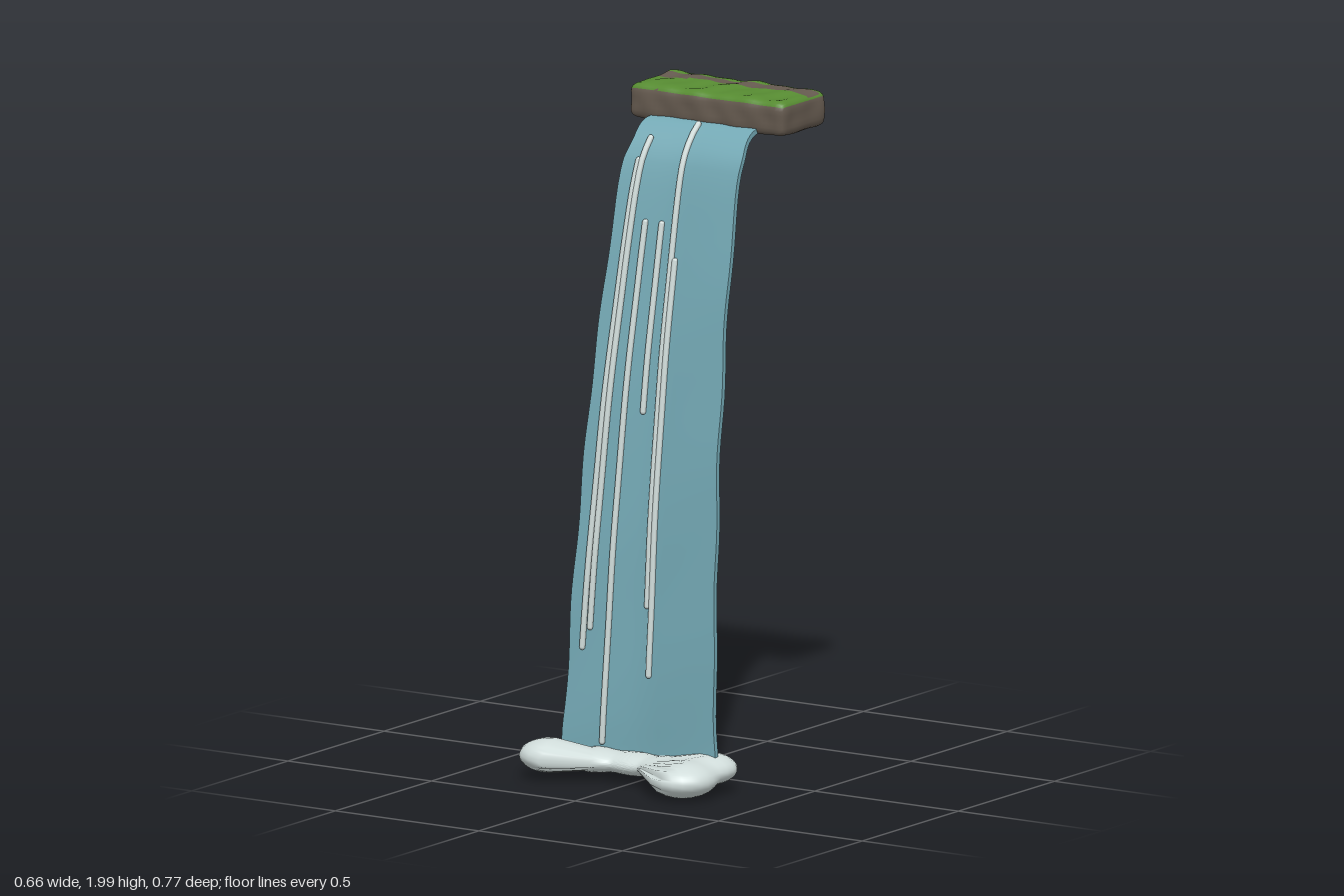
import * as THREE from 'three';
import { mergeGeometries, mergeVertices } from 'three/addons/utils/BufferGeometryUtils.js';

const mat = (name, color) => {
  const m = new THREE.MeshStandardMaterial({ color });
  m.name = name;
  return m;
};

// Smooth repeatable ripple between about -1 and 1
const ripple = (x, y, z) =>
  (Math.sin(x * 41 + z * 17 + 1.3) + Math.sin(z * 47 - x * 23 + y * 31) + Math.sin(y * 59 + x * 67 + z * 29)) / 3;

// Centre line of the falling water, from lip to base
const fall = new THREE.CatmullRomCurve3([
  [1.915, -0.17], [1.905, -0.13], [1.86, -0.08], [1.8, -0.048], [1.6, 0.0], [1.4, 0.036], [1.2, 0.068],
  [1.0, 0.096], [0.8, 0.117], [0.6, 0.135], [0.4, 0.15], [0.2, 0.161], [0.07, 0.166],
].map(([y, z]) => new THREE.Vector3(0, y, z)), false, 'centripetal');

const leftEdge = (t) => 0.19 + 0.09 * t + 0.003 * Math.sin(t * 40);
const rightEdge = (t) => -0.162 - 0.093 * Math.pow(t, 0.9) + 0.003 * Math.sin(t * 37 + 1);

// Point on the water at t down the fall and at sideways position x, pushed out by d
function waterPoint(t, x, d) {
  const p = fall.getPoint(t);
  const n = fall.getTangent(t);
  const fold = 0.024 * Math.min(1, Math.abs(x) / 0.26) * Math.min(1, t * 2.5);
  return new THREE.Vector3(x, p.y + n.z * d, p.z - n.y * d + fold + 0.0015 * Math.sin(t * 30 + x * 9));
}

function makeWater() {
  const geo = new THREE.BoxGeometry(1, 1, 1, 10, 60, 1);
  const pos = geo.attributes.position;
  for (let i = 0; i < pos.count; i++) {
    const t = 0.5 - pos.getY(i);
    const x = THREE.MathUtils.lerp(rightEdge(t), leftEdge(t), pos.getX(i) + 0.5);
    const p = waterPoint(t, x, (pos.getZ(i) - 0.5) * 0.016);
    pos.setXYZ(i, p.x, p.y, p.z);
  }
  geo.computeVertexNormals();
  return geo;
}

// Curve parameter at a given height
function paramAt(y) {
  let a = 0, b = 1;
  for (let i = 0; i < 30; i++) {
    const m = (a + b) / 2;
    if (fall.getPoint(m).y > y) a = m; else b = m;
  }
  return a;
}

// Round-ended strand lying on the front of the water
function makeStreak([x0, y0, x1, y1]) {
  const r = 0.009;
  const t0 = paramAt(y0), t1 = paramAt(y1);
  const pts = [];
  for (let i = 0; i <= 16; i++) {
    const k = i / 16;
    pts.push(waterPoint(t0 + (t1 - t0) * k, x0 + (x1 - x0) * k, 0.004));
  }
  const parts = [new THREE.TubeGeometry(new THREE.CatmullRomCurve3(pts), 40, r, 8)];
  for (const p of [pts[0], pts[16]]) parts.push(new THREE.SphereGeometry(r, 8, 6).translate(p.x, p.y, p.z));
  return mergeGeometries(parts);
}

// Rounded, lumpy slab: upward faces are grass, the rest is rock
function makeLedge() {
  const half = new THREE.Vector3(0.272, 0.053, 0.117), r = 0.026;
  let geo = new THREE.BoxGeometry(half.x * 2, half.y * 2, half.z * 2, 36, 8, 16);
  geo.deleteAttribute('uv');
  geo.deleteAttribute('normal');
  geo = mergeVertices(geo);
  const pos = geo.attributes.position;
  const inner = half.clone().subScalar(r);
  for (let i = 0; i < pos.count; i++) {
    const p = new THREE.Vector3().fromBufferAttribute(pos, i);
    const core = p.clone().clamp(inner.clone().negate(), inner);
    const dir = p.clone().sub(core).normalize();
    p.copy(core).addScaledVector(dir, r + 0.005 * ripple(p.x, p.y, p.z));
    pos.setXYZ(i, p.x + 0.018, p.y + 1.945, p.z - 0.265);
  }
  geo.computeVertexNormals();
  const idx = geo.index.array, grass = [], rock = [];
  const v = [0, 1, 2].map(() => new THREE.Vector3());
  for (let i = 0; i < idx.length; i += 3) {
    v.forEach((p, k) => p.fromBufferAttribute(pos, idx[i + k]));
    const n = new THREE.Vector3().crossVectors(v[1].clone().sub(v[0]), v[2].clone().sub(v[0])).normalize();
    const limit = 1.978 + 0.006 * ripple(v[0].x * 0.6, 0, v[0].z);
    (n.y > 0.3 && v[0].y > limit ? grass : rock).push(idx[i], idx[i + 1], idx[i + 2]);
  }
  geo.setIndex([...grass, ...rock]);
  geo.addGroup(0, grass.length, 0);
  geo.addGroup(grass.length, rock.length, 1);
  return geo;
}

// Blended puffs of foam: centre and radii of each lobe
const lobes = [
  [-0.24, 0.082, 0.268, 0.094, 0.05, 0.088],
  [-0.215, 0.06, 0.12, 0.098, 0.042, 0.1],
  [0.23, 0.068, 0.282, 0.1, 0.053, 0.1],
  [0.238, 0.082, 0.165, 0.09, 0.046, 0.08],
  [0, 0.07, 0.185, 0.12, 0.034, 0.066],
  [-0.12, 0.072, 0.205, 0.07, 0.036, 0.075],
  [0.12, 0.072, 0.205, 0.07, 0.036, 0.075],
];
const density = (p) => lobes.reduce((sum, [x, y, z, a, b, c]) =>
  sum + Math.exp(3 - 3 * (((p.x - x) / a) ** 2 + ((p.y - y) / b) ** 2 + ((p.z - z) / c) ** 2)), 0);

function makeFoam() {
  let geo = new THREE.SphereGeometry(1, 80, 48);
  geo.deleteAttribute('uv');
  geo.deleteAttribute('normal');
  geo = mergeVertices(geo);
  const pos = geo.attributes.position;
  const centre = new THREE.Vector3(0, 0.07, 0.19);
  for (let i = 0; i < pos.count; i++) {
    const dir = new THREE.Vector3().fromBufferAttribute(pos, i);
    dir.y *= 0.25;
    dir.normalize();
    const p = new THREE.Vector3();
    // Walk inwards until the foam is met
    for (let d = 0.45; d > 0.01; d -= 0.001) {
      p.copy(centre).addScaledVector(dir, d);
      if (density(p) > 1) break;
    }
    pos.setXYZ(i, p.x, p.y, p.z);
  }
  geo.computeVertexNormals();
  return geo;
}

export function createModel() {
  const water = mat('water blue', 0x74a9b5);
  const foam = mat('foam white', 0xd0dcda);
  const grass = mat('grass green', 0x578c32);
  const rock = mat('rock brown', 0x655a4f);

  const group = new THREE.Group();
  group.name = 'waterfall';
  const add = (name, geo, material) => {
    const mesh = new THREE.Mesh(geo, material);
    mesh.name = name;
    group.add(mesh);
  };

  add('ledge', makeLedge(), [grass, rock]);
  add('waterSheet', makeWater(), water);
  add('foam', makeFoam(), foam);

  // Strands: top x, top y, bottom x, bottom y
  [
    [-0.12, 1.86, -0.172, 0.45],
    [-0.138, 1.8, -0.195, 0.39],
    [-0.087, 1.63, -0.12, 0.12],
    [-0.033, 1.63, -0.037, 1.09],
    [0.01, 1.905, 0.013, 0.53],
    [0.025, 1.53, 0.03, 0.33],
  ].forEach((s, i) => add('streak' + (i + 1), makeStreak(s), foam));

  return group;
}
